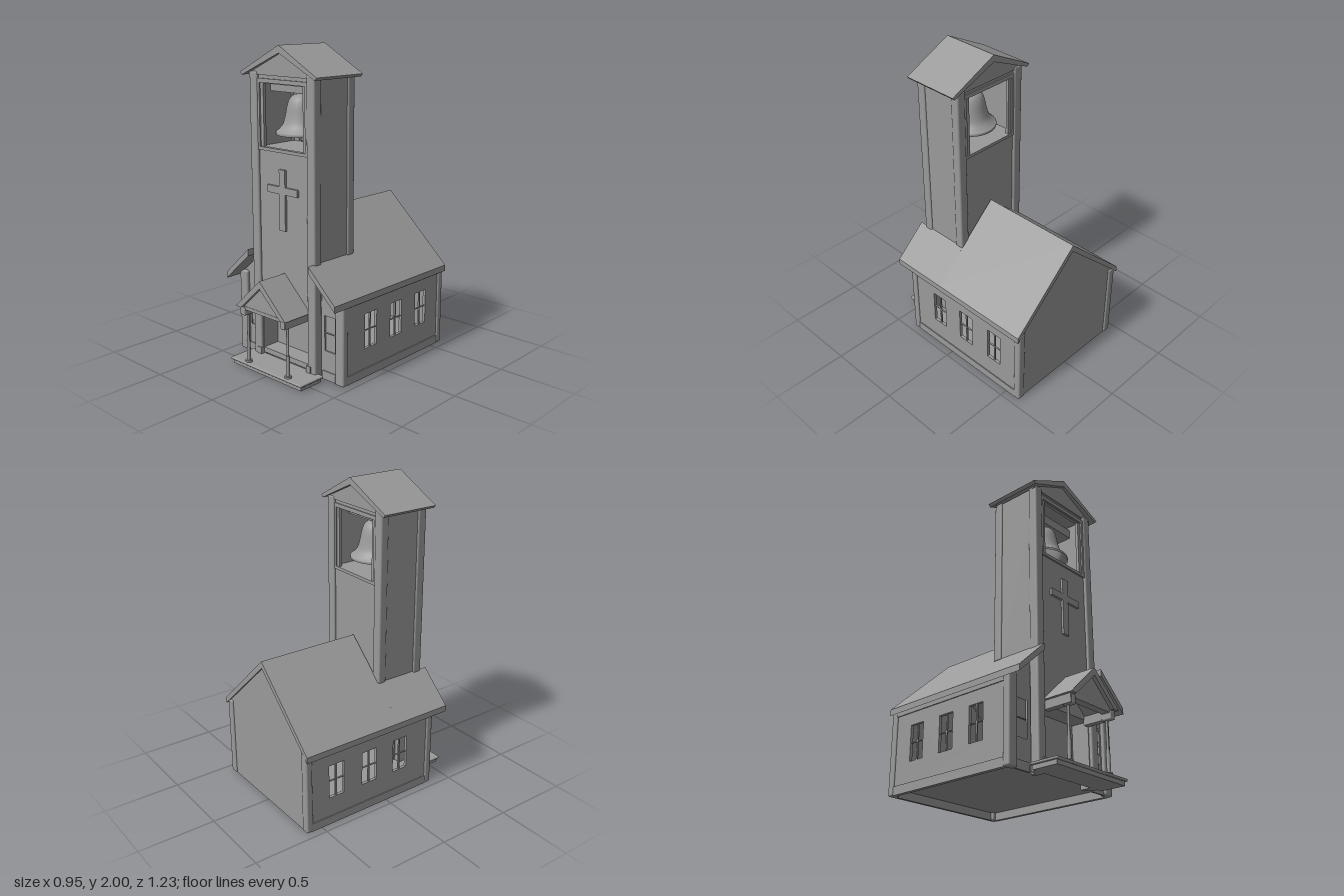
import * as THREE from 'three';
import { RoundedBoxGeometry } from 'three/addons/geometries/RoundedBoxGeometry.js';

const mat = new THREE.MeshStandardMaterial({ color: 0x9a9a9a });
const thin = new THREE.MeshStandardMaterial({ color: 0x9a9a9a, side: THREE.DoubleSide });

export function createModel() {
  const root = new THREE.Group();

  const add = (name, geo, x = 0, y = 0, z = 0, m = mat) => {
    const mesh = new THREE.Mesh(geo, m);
    mesh.name = name;
    mesh.position.set(x, y, z);
    root.add(mesh);
  };
  // box given by its limits
  const box = (name, x0, x1, y0, y1, z0, z1, round = 0) => {
    const s = [x1 - x0, y1 - y0, z1 - z0];
    const geo = round ? new RoundedBoxGeometry(...s, 3, round) : new THREE.BoxGeometry(...s);
    add(name, geo, (x0 + x1) / 2, (y0 + y1) / 2, (z0 + z1) / 2);
  };
  // same box on both sides of x = 0
  const pair = (name, x0, x1, ...rest) => {
    box(name + 'Left', x0, x1, ...rest);
    box(name + 'Right', -x1, -x0, ...rest);
  };
  // flat panel from an outline, with rectangular holes [u0, u1, v0, v1]
  const panel = (pts, depth, holes = []) => {
    const shape = new THREE.Shape(pts.map(p => new THREE.Vector2(...p)));
    for (const [a, b, c, d] of holes) {
      shape.holes.push(new THREE.Path([[a, c], [a, d], [b, d], [b, c]].map(p => new THREE.Vector2(...p))));
    }
    return new THREE.ExtrudeGeometry(shape, { depth, bevelEnabled: false });
  };
  const rect = (a, b, c, d) => [[a, c], [b, c], [b, d], [a, d]];
  // pitched roof slab: ridge, eave and underside heights
  const chevron = (top, ex, ey, ux, uy, under) =>
    [[0, top], [-ex, ey], [-ux, uy], [0, under], [ux, uy], [ex, ey]];

  // ---- nave walls ----
  const winY = [0.185, 0.41];
  const sideWins = [[0.055, 0.165], [-0.19, -0.078], [-0.44, -0.33]];
  for (const s of [1, -1]) {
    const side = s > 0 ? 'Left' : 'Right';
    const wall = panel(rect(-0.59, 0.35, 0, 0.535), 0.02, sideWins.map(w => [...w, ...winY]));
    wall.rotateY(-Math.PI / 2);
    add('naveWall' + side, wall, s > 0 ? 0.445 : -0.425);
    const front = [[0.2, 0.05], [0.44, 0.05], [0.44, 0.54], [0.2, 0.765]].map(([x, y]) => [x * s, y]);
    const hole = s > 0 ? [0.285, 0.37] : [-0.37, -0.285];
    add('naveFront' + side, panel(front, 0.02, [[...hole, ...winY]]), 0, 0, 0.33);
  }
  add('naveBackWall', panel([[-0.44, 0], [0.44, 0], [0.44, 0.54], [0, 0.945], [-0.44, 0.54]], 0.02), 0, 0, -0.602);
  box('naveFloor', -0.435, 0.435, 0.05, 0.083, -0.59, 0.34);

  // corner posts and skirting
  pair('naveFrontPost', 0.385, 0.455, 0, 0.545, 0.325, 0.372, 0.012);
  pair('naveBackPost', 0.4, 0.455, 0, 0.545, -0.612, -0.565, 0.012);
  pair('naveSkirting', 0.435, 0.451, 0, 0.055, -0.57, 0.33);
  pair('frontSkirting', 0.27, 0.39, 0, 0.055, 0.345, 0.357);
  pair('eaveBoard', 0.435, 0.452, 0.49, 0.535, -0.57, 0.33);

  // window bars, and the closed front windows
  for (const [a, b] of sideWins) {
    const c = (a + b) / 2;
    pair('windowMullion', 0.43, 0.44, ...winY, c - 0.005, c + 0.005);
    pair('windowTransom', 0.43, 0.44, 0.297, 0.302, a, b);
  }
  pair('frontWindowPane', 0.28, 0.375, 0.18, 0.415, 0.332, 0.34);
  pair('frontWindowTransom', 0.285, 0.37, 0.296, 0.302, 0.335, 0.346);

  // ---- nave roof, cut around the tower ----
  add('naveRoof', panel(chevron(0.98, 0.473, 0.543, 0.473, 0.503, 0.935), 0.69), 0, 0, -0.615);
  for (const s of [1, -1]) {
    const strip = [[0.262, 0.738], [0.473, 0.543], [0.473, 0.503], [0.262, 0.695]].map(([x, y]) => [x * s, y]);
    add(s > 0 ? 'naveRoofLeft' : 'naveRoofRight', panel(strip, 0.395), 0, 0, 0.072);
  }

  // ---- tower ----
  const opening = [-0.165, 0.165, 1.39, 1.77];
  add('towerFront', panel(rect(-0.22, 0.22, 0.4, 1.82), 0.02, [opening]), 0, 0, 0.383);
  add('towerBack', panel(rect(-0.22, 0.22, 0.72, 1.82), 0.02, [opening]), 0, 0, 0.085);
  pair('towerSide', 0.21, 0.261, 0.5, 1.83, 0.09, 0.4);
  pair('towerFrontPost', 0.205, 0.27, 0, 1.84, 0.357, 0.42, 0.012);
  pair('towerBackPost', 0.205, 0.27, 0.73, 1.84, 0.07, 0.13, 0.012);
  box('belfryFloor', -0.215, 0.215, 1.36, 1.388, 0.09, 0.395);
  box('belfryCeiling', -0.25, 0.25, 1.8, 1.825, 0.085, 0.4);
  for (const [z0, z1, n] of [[0.395, 0.413, 'front'], [0.077, 0.09, 'back']]) {
    pair(n + 'OpeningStile', 0.19, 0.21, 1.37, 1.8, z0, z1);
    box(n + 'OpeningSill', -0.21, 0.21, 1.37, 1.39, z0, z1);
    box(n + 'OpeningHead', -0.21, 0.21, 1.775, 1.8, z0, z1);
    add(n + 'Gable', panel([[-0.275, 1.82], [0.275, 1.82], [0.275, 1.835], [0, 1.965], [-0.275, 1.835]], z1 - z0), 0, 0, z0);
  }

  // tower roof with slightly raked ends
  const towerRoof = panel(chevron(2.0, 0.317, 1.833, 0.302, 1.816, 1.955), 0.39);
  const p = towerRoof.attributes.position;
  for (let i = 0; i < p.count; i++) p.setZ(i, p.getZ(i) + Math.abs(p.getX(i)) / 0.317 * 0.016);
  towerRoof.computeVertexNormals();
  add('towerRoof', towerRoof, 0, 0, 0.042);

  // bell hung from a beam
  box('bellBeam', -0.215, 0.215, 1.715, 1.775, 0.19, 0.3);
  const bellCurve = new THREE.SplineCurve([
    [0.001, 1.71], [0.04, 1.705], [0.07, 1.682], [0.087, 1.64], [0.1, 1.575], [0.116, 1.525], [0.145, 1.492], [0.157, 1.483], [0.157, 1.467],
  ].map(q => new THREE.Vector2(...q)));
  add('bell', new THREE.LatheGeometry(bellCurve.getPoints(28), 40), 0, 0, 0.245, thin);
  add('bellHanger', new THREE.CylinderGeometry(0.018, 0.018, 0.03, 16), 0, 1.71, 0.245);
  add('clapperRod', new THREE.CylinderGeometry(0.006, 0.006, 0.2, 10), 0, 1.59, 0.245);
  add('clapper', new THREE.SphereGeometry(0.018, 16, 12), 0, 1.482, 0.245);

  // cross on the tower front
  const c = 0.025, w = 0.127;
  add('cross', panel([[-c, 0.895], [c, 0.895], [c, 1.12], [w, 1.12], [w, 1.165], [c, 1.165],
    [c, 1.27], [-c, 1.27], [-c, 1.165], [-w, 1.165], [-w, 1.12], [-c, 1.12]], 0.018), 0, 0, 0.4);

  // ---- recessed entrance ----
  pair('entranceJamb', 0.2, 0.255, 0.05, 0.45, 0.27, 0.4);
  box('entranceWall', -0.21, 0.21, 0.05, 0.45, 0.26, 0.28);
  box('entranceCeiling', -0.21, 0.21, 0.4, 0.42, 0.27, 0.39);
  box('entranceFloor', -0.205, 0.205, 0.05, 0.083, 0.33, 0.4);
  pair('postPlinth', 0.2, 0.234, 0, 0.085, 0.33, 0.425);

  // ---- porch ----
  box('porchStep', -0.3, 0.3, 0, 0.028, 0.4, 0.572);
  box('porchDeck', -0.313, 0.313, 0.026, 0.042, 0.39, 0.585, 0.006);
  add('porchRoof', panel(chevron(0.625, 0.217, 0.42, 0.172, 0.418, 0.577), 0.22), 0, 0, 0.395);
  add('porchGable', panel([[-0.18, 0.418], [0.18, 0.418], [0, 0.585]], 0.02), 0, 0, 0.57);
  box('porchCrossBeam', -0.2, 0.2, 0.4, 0.422, 0.54, 0.592);
  pair('porchBeam', 0.16, 0.2, 0.366, 0.42, 0.4, 0.595);
  for (const s of [1, -1]) {
    const side = s > 0 ? 'Left' : 'Right';
    for (const [part, r, y0, y1] of [['Base', 0.022, 0.04, 0.054], ['Lower', 0.012, 0.05, 0.185], ['Upper', 0.008, 0.18, 0.365]]) {
      add('porchColumn' + part + side, new THREE.CylinderGeometry(r, r, y1 - y0, 16), s * 0.175, (y0 + y1) / 2, 0.555);
    }
  }
  pair('columnCapital', 0.157, 0.194, 0.36, 0.415, 0.53, 0.598, 0.008);

  return root;
}
